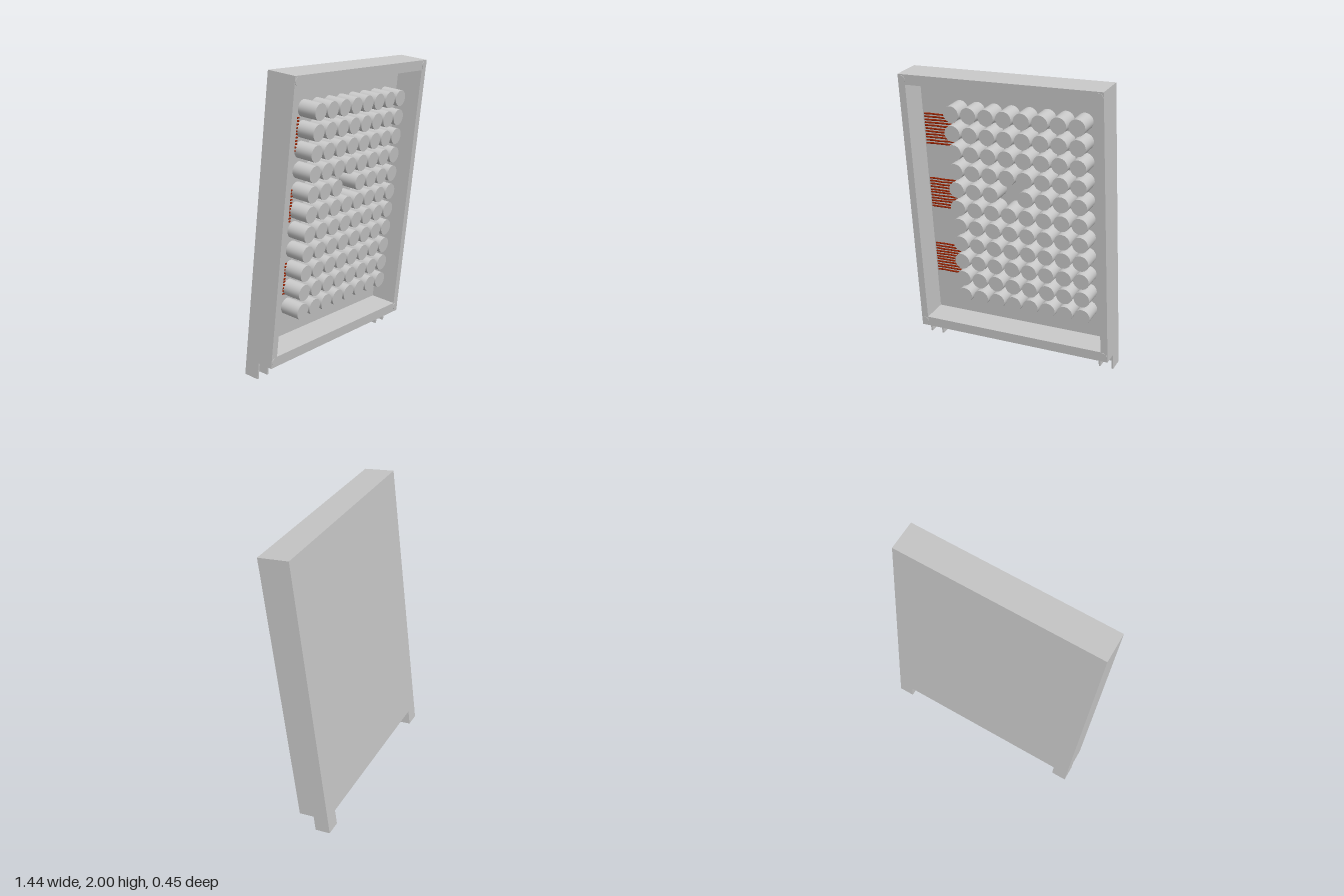
import * as THREE from 'three';

export function createModel() {
  const model = new THREE.Group();
  const shell = new THREE.MeshStandardMaterial({ color: 0xc6c6c6 });
  shell.name = 'light grey';
  const copper = new THREE.MeshStandardMaterial({ color: 0x992200 });
  copper.name = 'rust red';

  // Leaning panel; local origin is the lower front edge
  const panel = new THREE.Group();
  panel.name = 'panel';
  panel.position.set(0, 0.1, 0);
  panel.rotation.x = 0.119;
  model.add(panel);

  const W = 0.72, H = 1.888, D = 0.2115, FLOOR = -0.19;

  const add = (name, geometry, material, x = 0, y = 0, z = 0, parent = panel) => {
    const mesh = new THREE.Mesh(geometry, material);
    mesh.name = name;
    mesh.position.set(x, y, z);
    parent.add(mesh);
    return mesh;
  };
  const box = (name, x0, x1, y0, y1, z0, z1, parent = panel) =>
    add(name, new THREE.BoxGeometry(x1 - x0, y1 - y0, z1 - z0), shell,
      (x0 + x1) / 2, (y0 + y1) / 2, (z0 + z1) / 2, parent);

  // Tray: rectangular frame with a closed back
  const frame = new THREE.Shape([
    new THREE.Vector2(-W, 0), new THREE.Vector2(W, 0),
    new THREE.Vector2(W, H), new THREE.Vector2(-W, H),
  ]);
  frame.holes.push(new THREE.Path([
    new THREE.Vector2(-0.67, 0.07), new THREE.Vector2(-0.67, H - 0.07),
    new THREE.Vector2(0.67, H - 0.07), new THREE.Vector2(0.67, 0.07),
  ]));
  add('frame', new THREE.ExtrudeGeometry(frame, { depth: -FLOOR, bevelEnabled: false }), shell, 0, 0, FLOOR);
  box('backPlate', -W, W, 0, H, -D, FLOOR);

  // Corner screws
  const screw = new THREE.CylinderGeometry(0.025, 0.025, 0.006, 20).rotateX(Math.PI / 2);
  for (const x of [-0.692, 0.692])
    for (const y of [0.04, H - 0.035]) add('screw', screw, shell, x, y, 0);

  // Feet: channels open to the front
  for (const side of [-1, 1]) {
    const foot = new THREE.Group();
    foot.name = side < 0 ? 'rightFoot' : 'leftFoot';
    foot.position.x = side * 0.667;
    panel.add(foot);
    box('footBack', -0.053, 0.053, -0.113, 0, -D, -D + 0.013, foot);
    for (const s of [-1, 1]) {
      const wall = box('footWall', -0.006, 0.006, -0.113, 0, -D + 0.013, -0.105, foot);
      wall.position.x = s * 0.047;
    }
  }

  // Grid of round cells with one left out
  const length = 0.14;
  const cell = new THREE.CylinderGeometry(0.056, 0.056, length, 32).rotateX(Math.PI / 2);
  for (let row = 0; row < 11; row++)
    for (let col = 0; col < 8; col++) {
      if (row === 6 && col === 3) continue;
      add('cell', cell, shell, -0.374 + col * 0.1277, 0.281 + row * 0.1345, FLOOR + length / 2);
    }

  // Three bundles of slightly wavy wires on the tray floor
  let seed = 7;
  const random = () => (seed = (seed * 16807) % 2147483647) / 2147483647;
  for (const base of [0.377, 0.88, 1.353]) {
    const bundle = new THREE.Group();
    bundle.name = 'wireBundle';
    panel.add(bundle);
    for (let i = 0; i < 11; i++) {
      const y = base + i * 0.0212;
      const points = [0, 1, 2, 3, 4, 5].map((k) => new THREE.Vector3(
        -0.657 + k * 0.0475, y + k * 0.0008 + (random() - 0.5) * 0.004, FLOOR + 0.006));
      const path = new THREE.CatmullRomCurve3(points);
      add('wire', new THREE.TubeGeometry(path, 12, 0.006, 6), copper, 0, 0, 0, bundle);
    }
  }
  return model;
}
